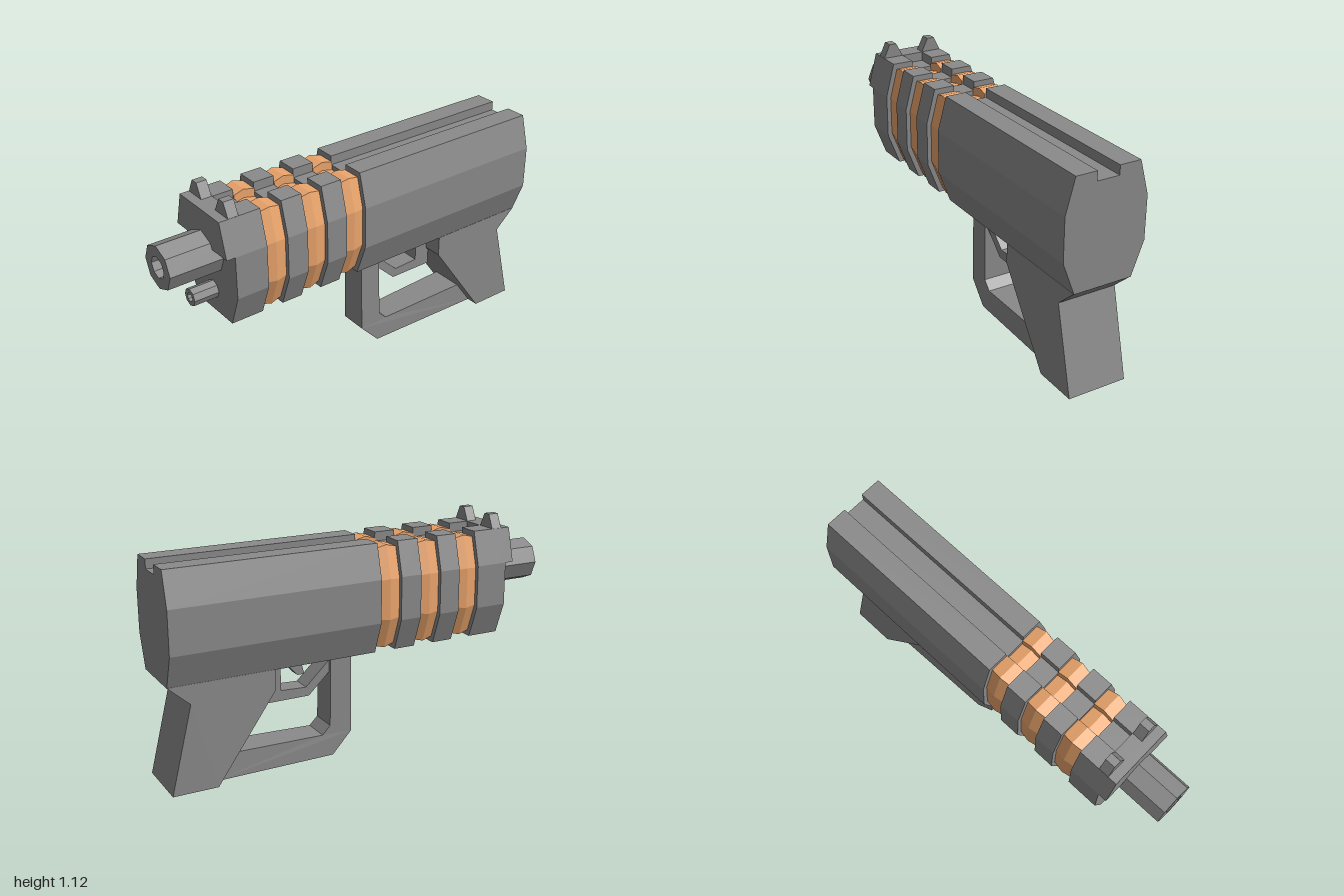
import * as THREE from 'three';

const grey = new THREE.MeshStandardMaterial({ color: 0x8a8a8a, flatShading: true });
const orange = new THREE.MeshStandardMaterial({ color: 0xeba56c, flatShading: true });

const toShape = (pts) => new THREE.Shape(pts.map(([x, y]) => new THREE.Vector2(x, y)));
const mirrored = (half) => [...half, ...half.map(([x, y]) => [-x, y]).reverse()];

// Half cross-sections of the slide, from the bottom up
const sides = [[0.145, 0.518], [0.205, 0.678], [0.205, 0.888], [0.16, 1.053]];
const solidSection = mirrored(sides);
const groovedSection = mirrored([...sides, [0.055, 1.053], [0.055, 1.008]]);

export function createModel() {
  const group = new THREE.Group();

  function add(name, geometry, material = grey) {
    const mesh = new THREE.Mesh(geometry, material);
    mesh.name = name;
    group.add(mesh);
    return mesh;
  }

  // Section in x,y swept from z0 to z1
  function along(name, pts, z0, z1) {
    const geo = new THREE.ExtrudeGeometry(toShape(pts), { depth: z1 - z0, bevelEnabled: false });
    return add(name, geo.translate(0, 0, z0));
  }

  // Side profile in z,y given a width in x
  function across(name, pts, width) {
    const geo = new THREE.ExtrudeGeometry(toShape(pts), { depth: width, bevelEnabled: false });
    return add(name, geo.translate(0, 0, -width / 2).rotateY(-Math.PI / 2));
  }

  // Ring that bulges at its middle
  function bulgedRing(name, z0, z1) {
    const depth = z1 - z0, cy = 0.785;
    const geo = new THREE.ExtrudeGeometry(toShape(groovedSection), { depth, steps: 2, bevelEnabled: false });
    const p = geo.attributes.position;
    for (let i = 0; i < p.count; i++) {
      const bulge = 1 - Math.abs(p.getZ(i) / depth - 0.5) * 2;
      const s = 0.895 + 0.05 * bulge;
      p.setXY(i, p.getX(i) * s, cy + (p.getY(i) - cy) * s);
    }
    geo.computeVertexNormals();
    add(name, geo.translate(0, 0, z0), orange);
  }

  // Octagonal tube with a blind bore
  function barrel(name, y, outer, inner, z0, z1, boreDepth) {
    const profile = [[0, z0], [outer, z0], [outer, z1], [inner, z1], [inner, z1 - boreDepth], [0, z1 - boreDepth]];
    const geo = new THREE.LatheGeometry(profile.map(([r, h]) => new THREE.Vector2(r, h)), 8);
    add(name, geo.rotateX(Math.PI / 2).translate(0.002, y, 0));
  }

  // Slide, alternating rings and front collar
  along('slide', groovedSection, -1, 0.037);
  [[0.037, 0.145], [0.253, 0.361], [0.467, 0.575]].forEach(([a, b], i) => bulgedRing('orangeRing' + (i + 1), a, b));
  [[0.145, 0.253], [0.361, 0.467]].forEach(([a, b], i) => along('greyRing' + (i + 1), groovedSection, a, b));
  along('frontCollar', groovedSection, 0.575, 0.68);
  along('frontPlate', solidSection, 0.68, 0.737);
  along('frontOverhang', mirrored(sides.slice(2)), 0.68, 0.78);

  // Pair of front sights
  for (const s of [1, -1]) {
    const pts = [[0.055, 1.05], [0.16, 1.05], [0.127, 1.12], [0.09, 1.12]].map(([x, y]) => [s * x, y]);
    along(s > 0 ? 'leftSight' : 'rightSight', pts, 0.682, 0.734);
  }

  barrel('barrel', 0.839, 0.107, 0.053, 0.7, 1, 0.2);
  barrel('lowerBarrel', 0.631, 0.043, 0.022, 0.7, 0.86, 0.1);

  // Grip, hand guard and trigger
  across('grip', [[-1, 0.52], [-0.895, 0.425], [-1, 0], [-0.78, 0], [-0.485, 0.42], [-0.485, 0.52]], 0.294);
  const guard = across('handGuard', [[-0.05, 0.53], [-0.055, 0.107], [-0.155, 0], [-0.79, 0.001], [-0.7, 0.125],
    [-0.21, 0.113], [-0.168, 0.155], [-0.16, 0.53]], 0.146);
  across('triggerGuard', [[-0.15, 0.495], [-0.15, 0.435], [-0.27, 0.322], [-0.5, 0.322], [-0.5, 0.53],
    [-0.415, 0.53], [-0.415, 0.373], [-0.285, 0.367]], 0.1);
  across('trigger', [[-0.31, 0.53], [-0.283, 0.428], [-0.32, 0.428], [-0.41, 0.53]], 0.06);

  // Hand guard narrows toward the slide and widens toward the grip
  const p = guard.geometry.attributes.position;
  for (let i = 0; i < p.count; i++) {
    const rear = Math.max(0, -p.getZ(i) - 0.25);
    p.setX(i, p.getX(i) * (1 - 0.2 * p.getY(i) + 0.35 * rear));
  }
  guard.geometry.computeVertexNormals();

  return group;
}
